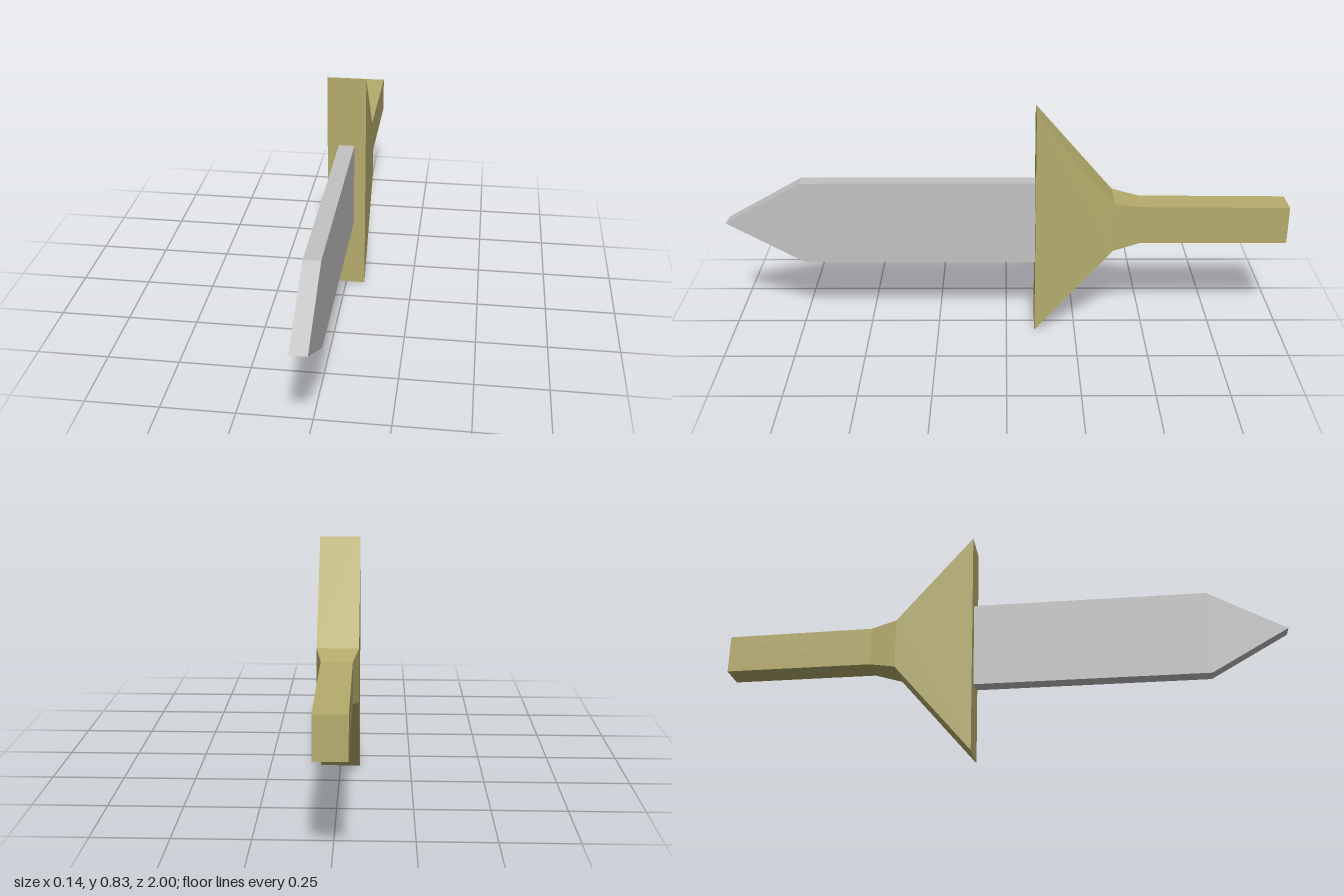
import * as THREE from 'three';

// Loft through rectangular sections [z, bottom, top, halfWidth], ordered by rising z
function loft(name, sections, material) {
  const rings = sections.map(([z, b, t, w]) => [[-w, b, z], [w, b, z], [w, t, z], [-w, t, z]]);
  const pos = [];
  const quad = (a, b, c, d) => pos.push(...a, ...b, ...c, ...a, ...c, ...d);
  for (let i = 0; i < rings.length - 1; i++) {
    const p = rings[i], q = rings[i + 1];
    for (let j = 0; j < 4; j++) {
      const k = (j + 1) % 4;
      // a section of no height closes to an edge, leaving triangles at the sides
      if (sections[i + 1][1] === sections[i + 1][2] && j % 2) pos.push(...p[j], ...p[k], ...q[k]);
      else quad(p[j], p[k], q[k], q[j]);
    }
  }
  const first = rings[0], last = rings[rings.length - 1], end = sections[sections.length - 1];
  quad(first[3], first[2], first[1], first[0]);
  if (end[2] > end[1]) quad(...last);

  const geometry = new THREE.BufferGeometry();
  geometry.setAttribute('position', new THREE.Float32BufferAttribute(pos, 3));
  geometry.computeVertexNormals();
  const mesh = new THREE.Mesh(geometry, material);
  mesh.name = name;
  return mesh;
}

export function createModel() {
  const brass = new THREE.MeshStandardMaterial({ color: 0xb5ac6c });
  brass.name = 'brass';
  const steel = new THREE.MeshStandardMaterial({ color: 0xc2c2c2 });
  steel.name = 'steel';

  const group = new THREE.Group();
  group.name = 'sword';

  // Slab blade with a wedge point
  group.add(loft('blade', [
    [-0.11, 0.26, 0.569, 0.028],
    [0.728, 0.26, 0.569, 0.028],
    [1, 0.415, 0.415, 0.028],
  ], steel));

  // Flared guard
  group.add(loft('guard', [
    [-0.38, 0.325, 0.507, 0.069],
    [-0.103, 0, 0.828, 0.069],
  ], brass));

  // Grip, with a collar widening into the guard
  group.add(loft('grip', [
    [-1, 0.347, 0.484, 0.051],
    [-0.475, 0.347, 0.488, 0.051],
    [-0.38, 0.325, 0.507, 0.069],
  ], brass));

  return group;
}
